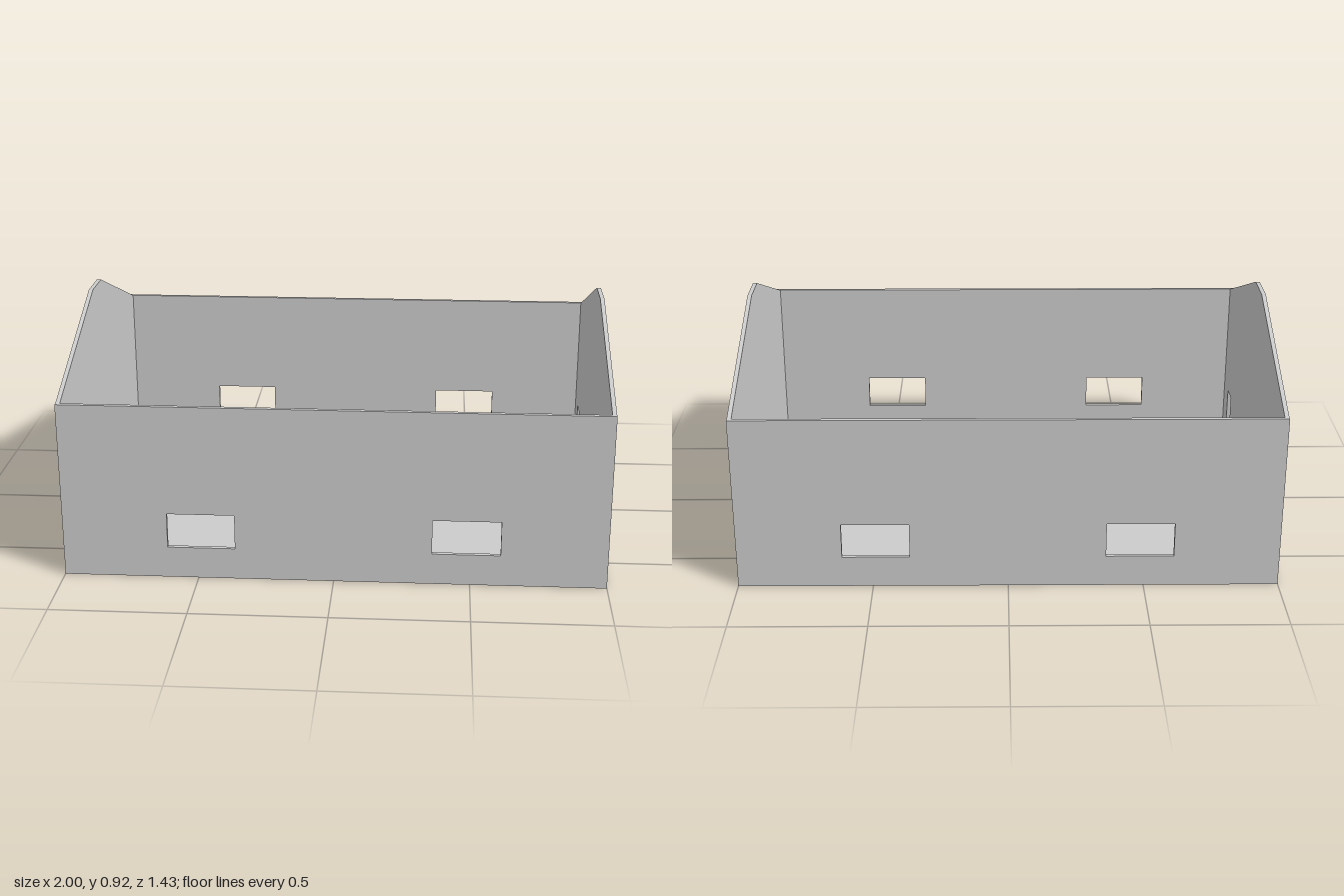
import * as THREE from 'three';

const W = 1, D = 0.713;            // half length and half depth
const T = 0.016;                   // wall thickness
const EAVE = 0.67, RIDGE = 0.915;  // wall and gable heights
const FLOOR = 0.054;

// Upright panel from an outline with rectangular openings [x0, y0, x1, y1]
function panel(name, outline, openings, material) {
  const points = (list) => list.map(([x, y]) => new THREE.Vector2(x, y));
  const shape = new THREE.Shape(points(outline));
  for (const [x0, y0, x1, y1] of openings) {
    shape.holes.push(new THREE.Path(points([[x0, y0], [x0, y1], [x1, y1], [x1, y0]])));
  }
  const geometry = new THREE.ExtrudeGeometry(shape, { depth: T, bevelEnabled: false });
  const mesh = new THREE.Mesh(geometry, material);
  mesh.name = name;
  return mesh;
}

export function createModel() {
  const group = new THREE.Group();
  group.name = 'openHouse';
  const material = new THREE.MeshStandardMaterial({ color: 0xcccccc, flatShading: true });

  // Long walls, each with two windows
  const inner = W - T;
  const wall = [[-inner, 0], [inner, 0], [inner, EAVE], [-inner, EAVE]];
  const windows = [[-0.612, 0.12, -0.363, 0.253], [0.36, 0.12, 0.61, 0.253]];
  // Gable walls with a flat-topped peak and one door
  const gable = [
    [-D, 0], [D, 0], [D, EAVE], [D - T, EAVE], [0.075, RIDGE],
    [-0.075, RIDGE], [-D + T, EAVE], [-D, EAVE],
  ];
  const door = [[0.504, FLOOR, 0.593, 0.233]];

  // The two ends are half-turn copies of each other
  for (const [turn, long, short] of [[0, 'frontWall', 'leftGable'], [Math.PI, 'backWall', 'rightGable']]) {
    const half = new THREE.Group();
    half.name = turn ? 'backHalf' : 'frontHalf';
    half.rotation.y = turn;
    const longWall = panel(long, wall, windows, material);
    longWall.position.z = D - T;
    const gableWall = panel(short, gable, door, material);
    gableWall.rotation.y = Math.PI / 2;
    gableWall.position.x = W - T;
    half.add(longWall, gableWall);
    group.add(half);
  }

  // Floor slab between the walls
  const floor = new THREE.Mesh(new THREE.BoxGeometry(2 * (W - T), FLOOR, 2 * (D - T)), material);
  floor.name = 'floor';
  floor.position.y = FLOOR / 2;
  group.add(floor);
  return group;
}
